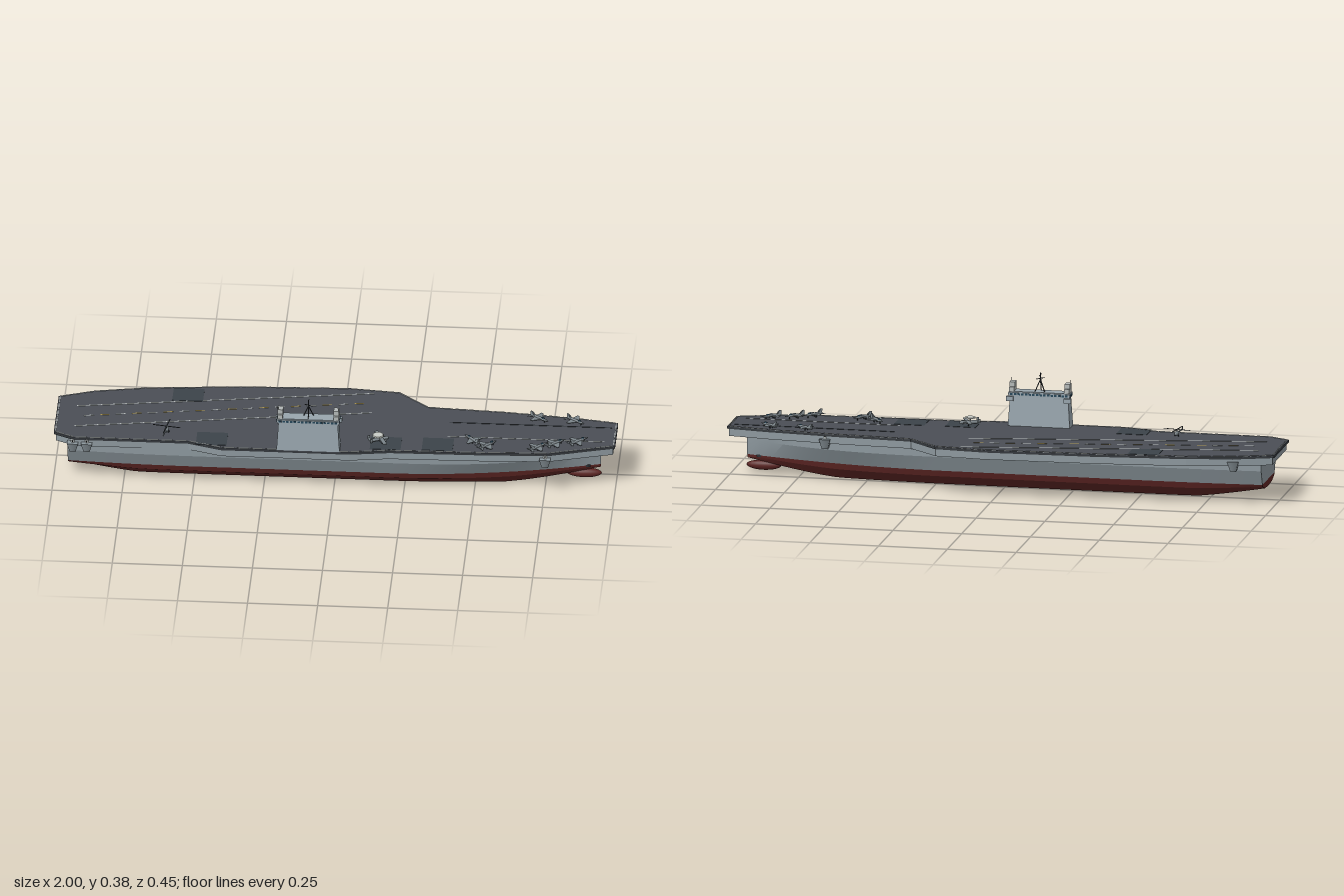
import * as THREE from 'three';
import { toCreasedNormals } from 'three/addons/utils/BufferGeometryUtils.js';

const mat = (color, extra = {}) => new THREE.MeshStandardMaterial({ color, ...extra });
const M = {
  deck: mat(0x4a4e55), edge: mat(0x34383c), hull: mat(0x8d989e), red: mat(0x5c2523), island: mat(0x98a5ad),
  pale: mat(0xb4b9b8), yellow: mat(0xa8934e), lift: mat(0x3b4349), dark: mat(0x2b3034), glass: mat(0x24465a),
  jet: mat(0x7b8489), white: mat(0xc9ccc6),
};
const DECK = 0.185, CENTRE = 0.042; // flight deck height, hull centreline z

function add(parent, name, geo, material, x = 0, y = 0, z = 0) {
  const m = new THREE.Mesh(geo, material);
  m.name = name;
  m.position.set(x, y, z);
  parent.add(m);
  return m;
}
const box = (p, name, m, w, h, d, x, y, z) => add(p, name, new THREE.BoxGeometry(w, h, d), m, x, y, z);

// Horizontal plate from [x, z] corners
function plate(p, name, pts, h, m, y = 0) {
  const shape = new THREE.Shape(pts.map(([x, z]) => new THREE.Vector2(x, -z)));
  const geo = new THREE.ExtrudeGeometry(shape, { depth: h, bevelEnabled: false }).rotateX(-Math.PI / 2);
  return add(p, name, geo, m, 0, y, 0);
}

// Thin bar between two points
function rod(p, name, a, b, r, m) {
  const A = new THREE.Vector3(...a), B = new THREE.Vector3(...b);
  const mesh = add(p, name, new THREE.CylinderGeometry(r, r, A.distanceTo(B), 6), m);
  mesh.position.copy(A).add(B).multiplyScalar(0.5);
  mesh.quaternion.setFromUnitVectors(new THREE.Vector3(0, 1, 0), B.sub(A).normalize());
  return mesh;
}

// Painted line lying on the deck
function stripe(p, name, x0, z0, x1, z1, w, m, h = 0.0012) {
  const len = Math.hypot(x1 - x0, z1 - z0);
  box(p, name, m, len, h, w, (x0 + x1) / 2, DECK + h / 2, (z0 + z1) / 2).rotation.y = -Math.atan2(z1 - z0, x1 - x0);
}

// Hull cross-section at x: half-widths and heights from the top edge down to the keel
function section(x) {
  const bow = Math.max(0, (x - 0.2) / 0.745), stern = Math.max(0, (-0.5 - x) / 0.45);
  const top = 0.14 * (1 - Math.pow(bow, 2.6)) * (1 - 0.1 * stern * stern) + 0.003;
  const water = 0.118 * (1 - Math.pow(bow, 1.9)) * (1 - 0.12 * stern * stern) + 0.002;
  const rise = Math.max(0, (x - 0.6) / 0.345), run = Math.max(0, (-0.7 - x) / 0.25);
  const keel = 0.055 * Math.pow(rise, 1.3) + 0.042 * Math.pow(run, 1.2);
  const at = f => keel + (0.067 - keel) * f;
  return [[top, 0.152], [top * 0.99 + water * 0.01, 0.122], [water, 0.067], [water * 0.94, at(0.67)], [water * 0.58, at(0.12)], [0, at(0)]];
}

// Loft of section rows [from..to], both sides mirrored, ends capped
function hullGeometry(from, to) {
  const n = 40, pos = [], idx = [];
  for (let i = 0; i <= n; i++) {
    const x = -0.95 + 1.895 * i / n;
    const half = section(x).slice(from, to + 1);
    const ring = [...half.map(([w, y]) => [w, y]), ...half.slice().reverse().map(([w, y]) => [-w, y])];
    ring.forEach(([w, y]) => pos.push(x, y, CENTRE + w));
  }
  const k = 2 * (to - from + 1);
  for (let i = 0; i < n; i++) for (let j = 0; j < k - 1; j++) {
    const a = i * k + j, b = a + k;
    idx.push(a, a + 1, b, b, a + 1, b + 1);
  }
  for (let j = 1; j < k - 1; j++) {
    idx.push(0, j + 1, j);
    idx.push(n * k, n * k + j, n * k + j + 1);
  }
  const g = new THREE.BufferGeometry();
  g.setAttribute('position', new THREE.Float32BufferAttribute(pos, 3));
  g.setIndex(idx);
  return toCreasedNormals(g, 0.3);
}

// Parked jet, nose towards +x
function jet(p, x, z, heading) {
  const g = new THREE.Group();
  g.name = 'parkedJet';
  const prof = [[0, -0.04], [0.0045, -0.038], [0.006, -0.01], [0.005, 0.015], [0.003, 0.032], [0, 0.042]];
  const body = new THREE.LatheGeometry(prof.map(q => new THREE.Vector2(...q)), 10).rotateZ(-Math.PI / 2);
  add(g, 'fuselage', body, M.jet, 0, 0.011, 0);
  add(g, 'canopy', new THREE.SphereGeometry(0.004, 8, 6).scale(2, 1, 0.8), M.glass, 0.016, 0.015, 0);
  for (const s of [1, -1]) {
    plate(g, 'wing', [[0.012, s * 0.003], [-0.009, s * 0.032], [-0.018, s * 0.032], [-0.02, s * 0.003]], 0.0015, M.jet, 0.01);
    plate(g, 'tailplane', [[-0.027, s * 0.003], [-0.037, s * 0.017], [-0.043, s * 0.017], [-0.04, s * 0.003]], 0.0012, M.jet, 0.01);
    const fin = plate(g, 'fin', [[-0.02, 0], [-0.032, -0.014], [-0.039, -0.014], [-0.036, 0]], 0.0012, M.jet, 0.013);
    fin.rotation.x = Math.PI / 2 - s * 0.25;
    fin.position.z = s * 0.005;
    box(g, 'mainWheel', M.dark, 0.004, 0.008, 0.002, -0.01, 0.004, s * 0.006);
  }
  box(g, 'noseWheel', M.dark, 0.003, 0.008, 0.002, 0.022, 0.004, 0);
  g.position.set(x, DECK, z);
  g.rotation.y = heading;
  p.add(g);
}

// Gun tub hung under the deck edge
function tub(p, x, z) {
  const g = new THREE.Group();
  g.name = 'gunTub';
  add(g, 'tubBody', new THREE.CylinderGeometry(0.028, 0.015, 0.036, 4).rotateY(Math.PI / 4), M.hull, 0, 0.148, 0);
  add(g, 'gunMount', new THREE.CylinderGeometry(0.006, 0.008, 0.012, 8), M.pale, 0, 0.172, 0);
  rod(g, 'gunBarrel', [0, 0.174, 0], [0, 0.177, Math.sign(z) * 0.02], 0.0015, M.dark);
  g.position.set(x, 0, z);
  p.add(g);
}

export function createModel() {
  const ship = new THREE.Group();
  ship.name = 'aircraftCarrier';

  // Hull
  add(ship, 'upperHull', hullGeometry(0, 2), M.hull);
  add(ship, 'lowerHull', hullGeometry(2, 5), M.red);
  add(ship, 'bowBulb', new THREE.SphereGeometry(0.018, 16, 12).scale(3.5, 1, 1), M.red, 0.885, 0.03, CENTRE);
  box(ship, 'hangarOpening', M.dark, 0.09, 0.035, 0.012, 0.385, 0.134, 0.168).rotation.y = 0.06;
  for (const s of [1, -1]) box(ship, 'anchor', M.dark, 0.016, 0.008, 0.005, 0.9, 0.066, CENTRE + s * 0.015);

  // Flight deck and the gallery beneath it
  const outline = [[-1, -0.1], [-0.88, -0.145], [-0.7, -0.18], [-0.36, -0.213], [0.03, -0.227], [0.21, -0.21], [0.32, -0.112],
    [0.6, -0.095], [0.85, -0.07], [1, -0.045], [1, 0.12], [0.93, 0.14], [0.77, 0.188], [0.55, 0.2], [0.2, 0.207], [0.06, 0.228],
    [-0.4, 0.228], [-0.52, 0.19], [-0.93, 0.19], [-1, 0.155]];
  plate(ship, 'gallery', outline.map(([x, z]) => [x * 0.993, z * 0.985]), 0.026, M.hull, 0.15);
  plate(ship, 'deckEdge', outline, 0.007, M.edge, 0.176);
  plate(ship, 'flightDeck', outline, 0.002, M.deck, 0.183);
  outline.forEach(([x0, z0], i) => {
    const [x1, z1] = outline[(i + 1) % outline.length];
    const n = Math.max(1, Math.round(Math.hypot(x1 - x0, z1 - z0) / 0.05));
    for (let j = 0; j < n; j++) {
      const at = t => [(x0 + (x1 - x0) * t) * 0.994, (z0 + (z1 - z0) * t) * 0.98];
      stripe(ship, 'edgeStrip', ...at((j + 0.1) / n), ...at((j + 0.9) / n), 0.003, M.pale, 0.002);
    }
  });

  // Deck markings
  stripe(ship, 'landingLine', -0.93, -0.035, 0.12, -0.195, 0.004, M.pale);
  stripe(ship, 'landingLine', -0.93, 0.107, 0.12, -0.058, 0.004, M.pale);
  for (let i = 0; i < 18; i++) {
    const at = t => [-0.9 + 1.01 * t, 0.032 - 0.158 * t];
    stripe(ship, 'centreDash', ...at(i / 18), ...at((i + 0.6) / 18), 0.004, i % 2 ? M.yellow : M.pale);
  }
  stripe(ship, 'catapultTrack', 0.4, -0.01, 0.98, -0.01, 0.004, M.dark);
  stripe(ship, 'catapultLine', 0.4, 0.09, 0.96, 0.09, 0.003, M.pale);
  for (const [x, z] of [[-0.54, -0.14], [-0.435, 0.165], [0.185, 0.155], [0.37, 0.15]])
    box(ship, 'aircraftLift', M.lift, 0.11, 0.0012, 0.088, x, DECK + 0.0006, z);
  for (const [x, z] of [[-0.93, 0.185], [-0.88, 0.185], [0.755, 0.185], [-0.86, -0.135], [0.635, -0.085]]) tub(ship, x, z);

  // Island tower: tapered block, bridge band, roof houses
  const island = new THREE.Group();
  island.name = 'island';
  const tower = new THREE.BoxGeometry(0.225, 0.11, 0.06);
  const tp = tower.attributes.position;
  for (let i = 0; i < tp.count; i++) if (tp.getY(i) > 0) tp.setXYZ(i, tp.getX(i) * 0.94, tp.getY(i), tp.getZ(i) * 0.82);
  tower.computeVertexNormals();
  add(island, 'tower', tower, M.island, 0, 0.055, 0);
  box(island, 'bridge', M.island, 0.222, 0.014, 0.054, 0, 0.115, 0);
  for (let i = 0; i < 16; i++) box(island, 'bridgeWindow', M.glass, 0.009, 0.007, 0.056, -0.1 + i * 0.0133, 0.116, 0);
  for (let i = 0; i < 5; i++) box(island, 'endWindow', M.glass, 0.2245, 0.007, 0.007, 0, 0.116, -0.02 + i * 0.01);
  box(island, 'roof', M.island, 0.2, 0.003, 0.044, 0, 0.123, 0);
  for (const s of [1, -1]) {
    box(island, 'bridgeWing', M.island, 0.026, 0.016, 0.014, s * 0.105, 0.1, -0.03);
    box(island, 'sensorBlock', M.pale, 0.018, 0.016, 0.044, s * 0.1, 0.132, 0);
    box(island, 'radarHouse', M.pale, 0.02, 0.018, 0.028, s * 0.1, 0.148, 0);
    rod(island, 'whip', [s * 0.108, 0.12, 0.012], [s * 0.108, 0.168, 0.012], 0.0012, M.dark);
  }
  // Tripod mast with yards
  for (const [x, z] of [[-0.018, -0.01], [0.018, -0.01], [0, 0.016]]) rod(island, 'mastLeg', [x, 0.123, z], [0, 0.168, 0], 0.0018, M.dark);
  rod(island, 'mast', [0, 0.155, 0], [0, 0.192, 0], 0.0018, M.dark);
  rod(island, 'upperYard', [0, 0.184, -0.018], [0, 0.184, 0.018], 0.0015, M.dark);
  rod(island, 'lowerYard', [0, 0.165, -0.011], [0, 0.165, 0.011], 0.0015, M.dark);
  rod(island, 'crossArm', [-0.015, 0.175, 0], [0.015, 0.168, 0], 0.0015, M.dark);
  island.position.set(-0.088, DECK, 0.198);
  ship.add(island);

  // Parked aircraft
  for (const [x, z, h] of [[0.72, -0.045, -0.6], [0.85, -0.035, -0.6], [0.49, 0.12, 2.3], [0.55, 0.155, 0.8],
    [0.73, 0.155, 0.8], [0.79, 0.125, 0.7], [0.87, 0.105, 0.7]]) jet(ship, x, z, h);

  // Radar plane with rotating disc
  const radar = new THREE.Group();
  radar.name = 'radarPlane';
  add(radar, 'fuselage', new THREE.CapsuleGeometry(0.006, 0.06, 4, 10).rotateZ(Math.PI / 2), M.jet, 0, 0.012, 0);
  box(radar, 'wing', M.jet, 0.014, 0.002, 0.1, 0.006, 0.016, 0);
  box(radar, 'tailplane', M.jet, 0.009, 0.002, 0.034, -0.034, 0.014, 0);
  for (const s of [1, -1]) {
    box(radar, 'fin', M.jet, 0.009, 0.014, 0.0015, -0.034, 0.018, s * 0.015);
    add(radar, 'engine', new THREE.CylinderGeometry(0.004, 0.003, 0.026, 8).rotateZ(-Math.PI / 2), M.jet, 0.01, 0.013, s * 0.018);
    box(radar, 'wheel', M.dark, 0.004, 0.01, 0.002, 0.006, 0.005, s * 0.018);
  }
  add(radar, 'discPylon', new THREE.CylinderGeometry(0.003, 0.003, 0.012, 6), M.jet, -0.004, 0.022, 0);
  add(radar, 'radarDisc', new THREE.CylinderGeometry(0.018, 0.02, 0.004, 20), M.white, -0.004, 0.029, 0);
  radar.position.set(0.16, DECK, 0.145);
  radar.rotation.y = 0.4;
  ship.add(radar);

  // Helicopter
  const heli = new THREE.Group();
  heli.name = 'helicopter';
  add(heli, 'cabin', new THREE.SphereGeometry(0.008, 12, 8).scale(2.2, 1, 0.9), M.jet, 0.008, 0.011, 0);
  rod(heli, 'tailBoom', [0, 0.012, 0], [-0.045, 0.015, 0], 0.0025, M.jet);
  box(heli, 'tailFin', M.jet, 0.006, 0.014, 0.0015, -0.045, 0.019, 0);
  rod(heli, 'rotorMast', [0.006, 0.016, 0], [0.006, 0.025, 0], 0.002, M.dark);
  for (const a of [0, Math.PI / 2]) box(heli, 'rotorBlades', M.dark, 0.1, 0.0012, 0.004, 0.006, 0.025, 0).rotation.y = a;
  for (const s of [1, -1]) box(heli, 'wheel', M.dark, 0.004, 0.006, 0.003, 0.008, 0.003, s * 0.007);
  heli.position.set(-0.6, DECK, 0.135);
  heli.rotation.y = 1.4;
  ship.add(heli);

  return ship;
}
